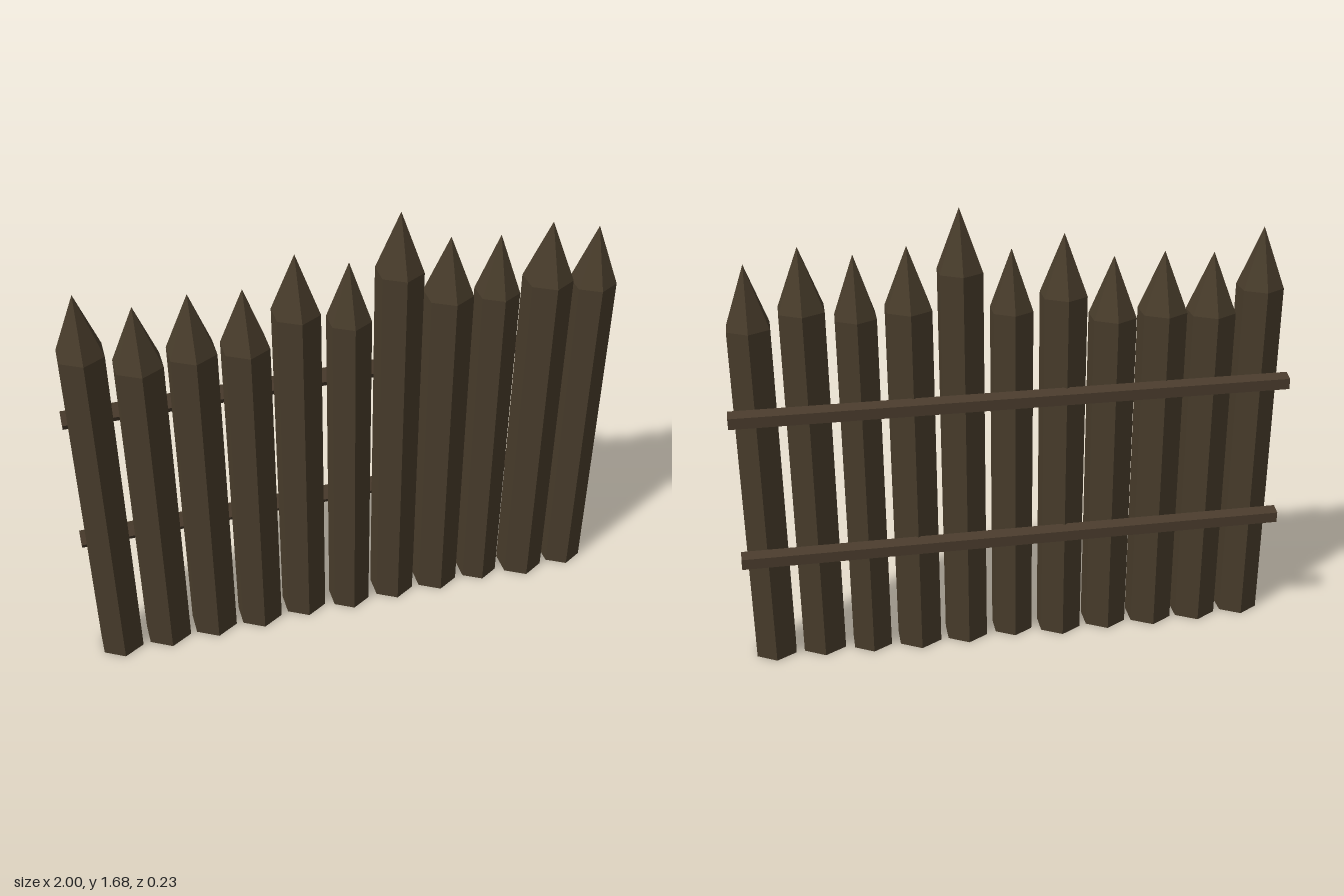
import * as THREE from 'three';

const postWood = new THREE.MeshStandardMaterial({ name: 'dark post wood', color: 0x483c2b, flatShading: true });
const railWood = new THREE.MeshStandardMaterial({ name: 'dark rail wood', color: 0x4a3c2d, flatShading: true });

const TIP = 0.22; // height of every sharpened point

// One hexagonal stake: straight trunk with a sharpened point
function makePost(x, z, radius, height) {
  const post = new THREE.Group();
  post.name = 'post';
  const trunkHeight = height - TIP;

  const trunk = new THREE.Mesh(new THREE.CylinderGeometry(radius, radius, trunkHeight, 6), postWood);
  trunk.name = 'postTrunk';
  trunk.position.y = trunkHeight / 2;

  const tip = new THREE.Mesh(new THREE.ConeGeometry(radius, TIP, 6, 1, true), postWood);
  tip.name = 'postTip';
  tip.position.y = trunkHeight + TIP / 2;

  post.add(trunk, tip);
  post.position.set(x, 0, z);
  return post;
}

// Five-sided pole lying along x behind the posts
function makeRail(y) {
  const geometry = new THREE.CylinderGeometry(0.034, 0.034, 2, 5).rotateZ(Math.PI / 2);
  const rail = new THREE.Mesh(geometry, railWood);
  rail.name = 'rail';
  rail.position.set(0, y, -0.087);
  return rail;
}

export function createModel() {
  const fence = new THREE.Group();
  fence.name = 'palisadeFence';

  // z offset, radius and total height of each post, from -x to +x
  const posts = [
    [0.022, 0.086, 1.555], [0.015, 0.091, 1.475], [0.012, 0.091, 1.49],
    [0.016, 0.089, 1.48], [0.005, 0.088, 1.575], [0.022, 0.081, 1.525],
    [0.011, 0.086, 1.68], [0.008, 0.090, 1.557], [0.009, 0.081, 1.537],
    [0.026, 0.090, 1.568], [0.017, 0.084, 1.52],
  ];
  posts.forEach(([z, radius, height], i) => fence.add(makePost((i - 5) * 0.1816, z, radius, height)));

  for (const y of [0.452, 1.002]) fence.add(makeRail(y));
  return fence;
}
